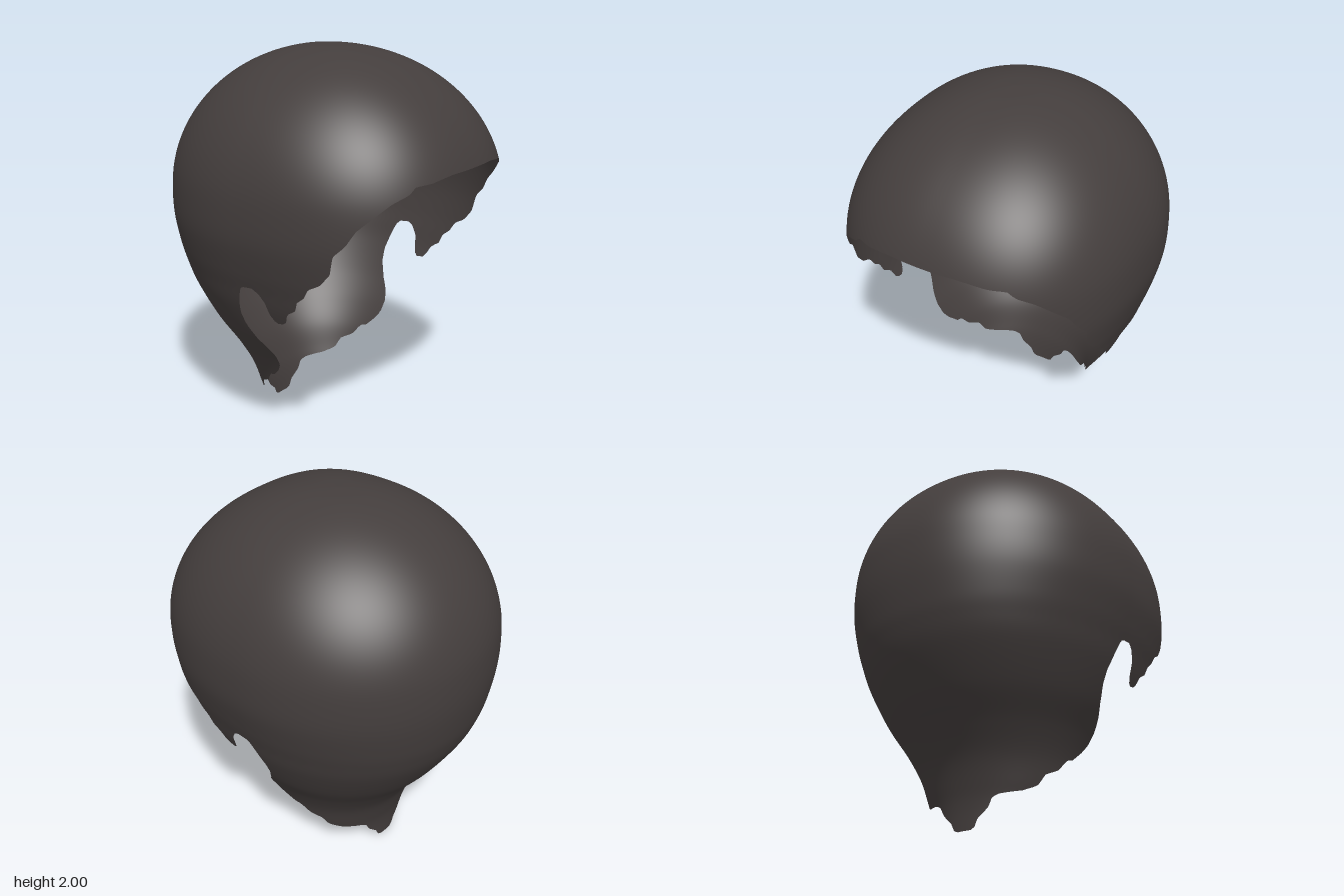
import * as THREE from 'three';

const COLS = 192, ROWS = 150;

// Cut-away area seen from the side (z, y): fringe, sideburn, ear notch, nape
const SIDE_CUT = [
  [1.2, 1.48], [0.82, 1.475], [0.79, 1.455], [0.755, 1.45], [0.745, 1.42], [0.7, 1.385],
  [0.64, 1.32], [0.59, 1.27], [0.55, 1.2], [0.5, 1.15], [0.48, 1.06], [0.43, 1.0],
  [0.37, 0.97], [0.34, 0.92], [0.3, 0.89], [0.28, 0.84], [0.23, 0.81], [0.21, 0.76],
  [0.18, 0.74], [0.14, 0.745], [0.125, 0.79], [0.115, 0.85], [0.08, 0.905], [0.03, 0.925],
  [-0.02, 0.905], [-0.05, 0.83], [-0.07, 0.75], [-0.065, 0.68], [-0.03, 0.6], [0.01, 0.54],
  [0.03, 0.49], [0.025, 0.43], [0, 0.39], [-0.05, 0.34], [-0.08, 0.335], [-0.12, 0.28],
  [-0.18, 0.25], [-0.2, 0.2], [-0.24, 0.17], [-0.26, -0.3], [1.2, -0.3],
];
// Cut-away area below the nape seen from the front (|x|, y)
const NAPE_CUT = [
  [-0.3, 0.003], [0.04, 0.003], [0.06, 0.015], [0.075, 0.05], [0.11, 0.08], [0.13, 0.1],
  [0.15, 0.14], [0.18, 0.155], [0.27, 0.17], [0.31, 0.19], [0.33, 0.2], [0.36, -0.3], [-0.3, -0.3],
];

// Signed distance to a polygon, positive outside it
function distanceOutside(poly, px, py) {
  let best = Infinity, inside = false;
  poly.forEach(([ax, ay], i) => {
    const [bx, by] = poly[(i + 1) % poly.length];
    const dx = bx - ax, dy = by - ay;
    const t = THREE.MathUtils.clamp(((px - ax) * dx + (py - ay) * dy) / (dx * dx + dy * dy), 0, 1);
    best = Math.min(best, Math.hypot(px - ax - t * dx, py - ay - t * dy));
    if ((ay > py) !== (by > py) && px < ax + ((py - ay) * dx) / dy) inside = !inside;
  });
  return inside ? -best : best;
}

// Profile from crown to nape: x = half width, y = height, z = depth to the back
function makeProfile() {
  const points = [];
  for (let a = 90; a >= 0; a -= 10) {
    const r = THREE.MathUtils.degToRad(a);
    points.push(new THREE.Vector3(0.76 * Math.cos(r), 1.27 + 0.73 * Math.sin(r), 0.823 * Math.cos(r)));
  }
  [[0.755, 1.14, 0.82], [0.725, 1.0, 0.8], [0.695, 0.9, 0.775], [0.655, 0.78, 0.725],
    [0.575, 0.61, 0.62], [0.48, 0.46, 0.505], [0.415, 0.33, 0.42], [0.375, 0.2, 0.37],
    [0.34, 0.1, 0.347], [0.3, -0.04, 0.335]].forEach((p) => points.push(new THREE.Vector3(...p)));
  return new THREE.CatmullRomCurve3(points, false, 'catmullrom', 0.5);
}

// Full closed shell of rounded cross-sections, boxier at the front
function makeShell() {
  const profile = makeProfile(), positions = [], index = [];
  for (let j = 0; j <= ROWS; j++) {
    const { x: w, y, z: back } = profile.getPoint(j / ROWS);
    const front = y > 1.27 ? w * 0.865 / 0.76 : 0.865;
    for (let i = 0; i < COLS; i++) {
      const a = (i / COLS) * Math.PI * 2, s = Math.sin(a), c = Math.cos(a);
      const e = 2 / (c > 0 ? 2.4 : 2.1);
      positions.push(w * Math.sign(s) * Math.abs(s) ** e, y,
        (c > 0 ? front : back) * Math.sign(c) * Math.abs(c) ** e);
      if (j === ROWS) continue;
      const p = j * COLS + i, q = j * COLS + ((i + 1) % COLS);
      index.push(p, p + COLS, q + COLS);
      if (j > 0) index.push(p, q + COLS, q);
    }
  }
  const geometry = new THREE.BufferGeometry();
  geometry.setAttribute('position', new THREE.Float32BufferAttribute(positions, 3));
  geometry.setIndex(index);
  geometry.computeVertexNormals();
  return geometry;
}

// Trim the shell along the hairline, keeping its smooth normals
function trimShell(shell) {
  const pos = shell.attributes.position, nor = shell.attributes.normal, verts = [];
  for (let i = 0; i < pos.count; i++) {
    const p = new THREE.Vector3().fromBufferAttribute(pos, i);
    // the crown has no face ring to average, so point it straight up
    const n = i < COLS ? new THREE.Vector3(0, 1, 0) : new THREE.Vector3().fromBufferAttribute(nor, i);
    let d = distanceOutside(SIDE_CUT, p.z, p.y);
    if (p.z < 0) d = Math.min(d, distanceOutside(NAPE_CUT, Math.abs(p.x), p.y));
    verts.push({ p, n, d });
  }
  const positions = [], normals = [], index = shell.index.array;
  for (let f = 0; f < index.length; f += 3) {
    const tri = [verts[index[f]], verts[index[f + 1]], verts[index[f + 2]]], kept = [];
    tri.forEach((a, k) => {
      const b = tri[(k + 1) % 3];
      if (a.d >= 0) kept.push(a);
      if ((a.d >= 0) !== (b.d >= 0)) {
        const t = a.d / (a.d - b.d);
        kept.push({ p: a.p.clone().lerp(b.p, t), n: a.n.clone().lerp(b.n, t).normalize() });
      }
    });
    for (let k = 1; k + 1 < kept.length; k++) {
      for (const v of [kept[0], kept[k], kept[k + 1]]) {
        positions.push(v.p.x, v.p.y, v.p.z);
        normals.push(v.n.x, v.n.y, v.n.z);
      }
    }
  }
  const geometry = new THREE.BufferGeometry();
  geometry.setAttribute('position', new THREE.Float32BufferAttribute(positions, 3));
  geometry.setAttribute('normal', new THREE.Float32BufferAttribute(normals, 3));
  return geometry;
}

export function createModel() {
  const group = new THREE.Group();
  group.name = 'hairpiece';
  const darkBrown = new THREE.MeshStandardMaterial({ color: 0x443e3d, side: THREE.DoubleSide });
  darkBrown.name = 'dark brown hair';
  const hair = new THREE.Mesh(trimShell(makeShell()), darkBrown);
  hair.name = 'hairShell';
  group.add(hair);
  return group;
}
